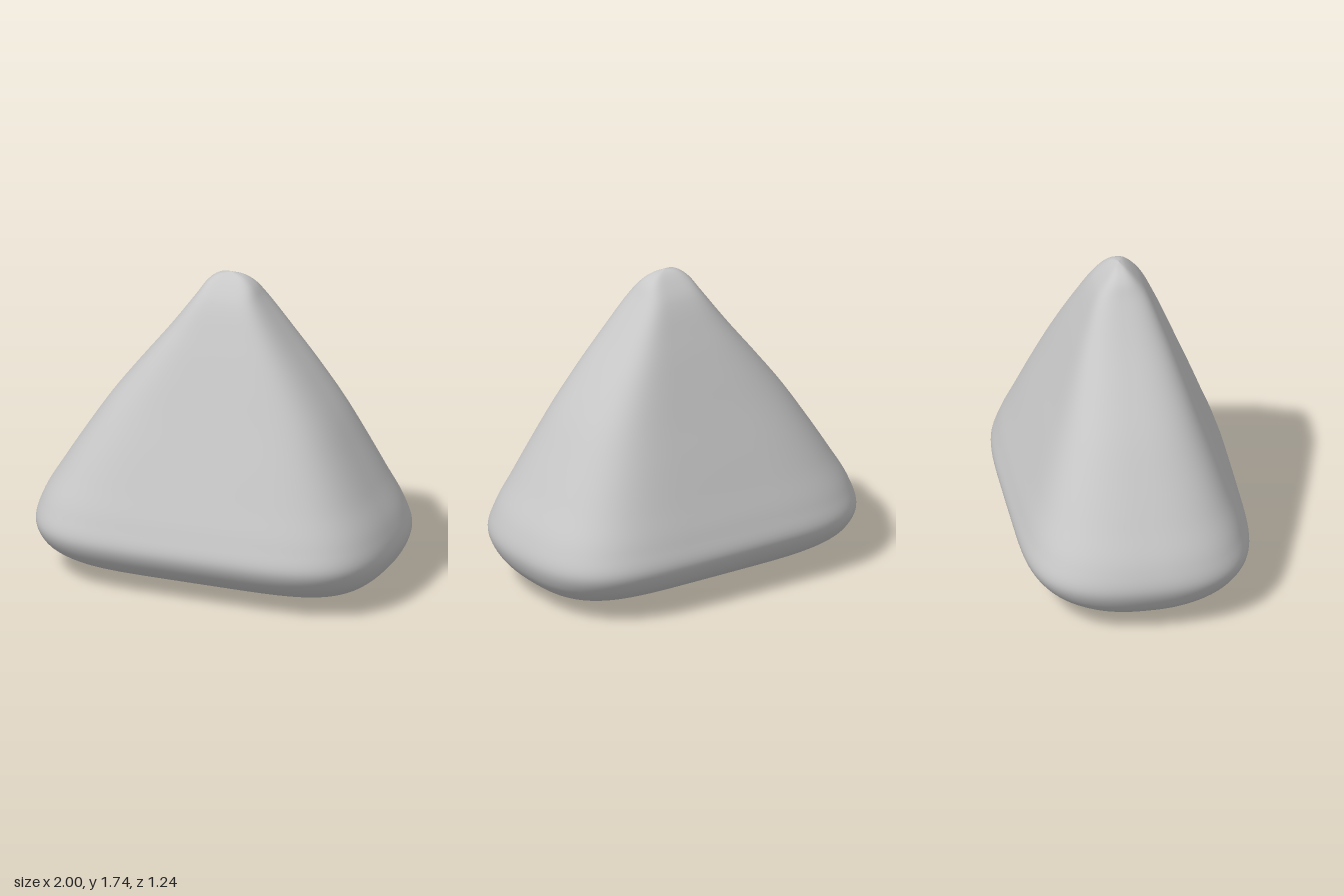
import * as THREE from 'three';

const SEGMENTS = 128;
const ROWS = 100;

// half width (x), height (y), half depth (z) from the belly up to the tip
const PROFILE = [
  [0, 0, 0], [0.35, 0.008, 0.13], [0.63, 0.02, 0.21], [0.78, 0.05, 0.33],
  [0.88, 0.1, 0.45], [0.965, 0.19, 0.57], [0.998, 0.29, 0.62], [0.963, 0.42, 0.59],
  [0.865, 0.6, 0.525], [0.75, 0.8, 0.452], [0.628, 1.0, 0.376], [0.485, 1.2, 0.302],
  [0.333, 1.4, 0.225], [0.187, 1.6, 0.137], [0.13, 1.68, 0.077],
  [0.075, 1.72, 0.035], [0, 1.738, 0],
];

const power = (v, p) => Math.sign(v) * Math.pow(Math.abs(v), p);

// Stacked rounded-rectangle sections: flat front and back, bowed ends
function roundedWedge() {
  const curve = new THREE.CatmullRomCurve3(PROFILE.map(p => new THREE.Vector3(...p)));
  const positions = [], index = [];
  for (let r = 0; r <= ROWS; r++) {
    const p = curve.getPoint(r / ROWS);
    const lean = 0.045 * THREE.MathUtils.smoothstep(p.y, 0.3, 1.5);
    for (let s = 0; s < SEGMENTS; s++) {
      const a = (s / SEGMENTS) * Math.PI * 2;
      positions.push(
        lean + Math.max(p.x, 0) * power(Math.cos(a), 0.4),
        Math.max(p.y, 0),
        Math.max(p.z, 0) * power(Math.sin(a), 0.8));
      if (r === ROWS) continue;
      const i = r * SEGMENTS + s, n = r * SEGMENTS + (s + 1) % SEGMENTS;
      index.push(i, i + SEGMENTS, n, n, i + SEGMENTS, n + SEGMENTS);
    }
  }
  const geometry = new THREE.BufferGeometry();
  geometry.setAttribute('position', new THREE.Float32BufferAttribute(positions, 3));
  geometry.setIndex(index);
  geometry.computeVertexNormals();
  return geometry;
}

export function createModel() {
  const group = new THREE.Group();
  group.name = 'roundedPyramid';
  const grey = new THREE.MeshStandardMaterial({ color: 0xc8c8c8 });
  grey.name = 'light grey';
  const body = new THREE.Mesh(roundedWedge(), grey);
  body.name = 'body';
  group.add(body);
  return group;
}
